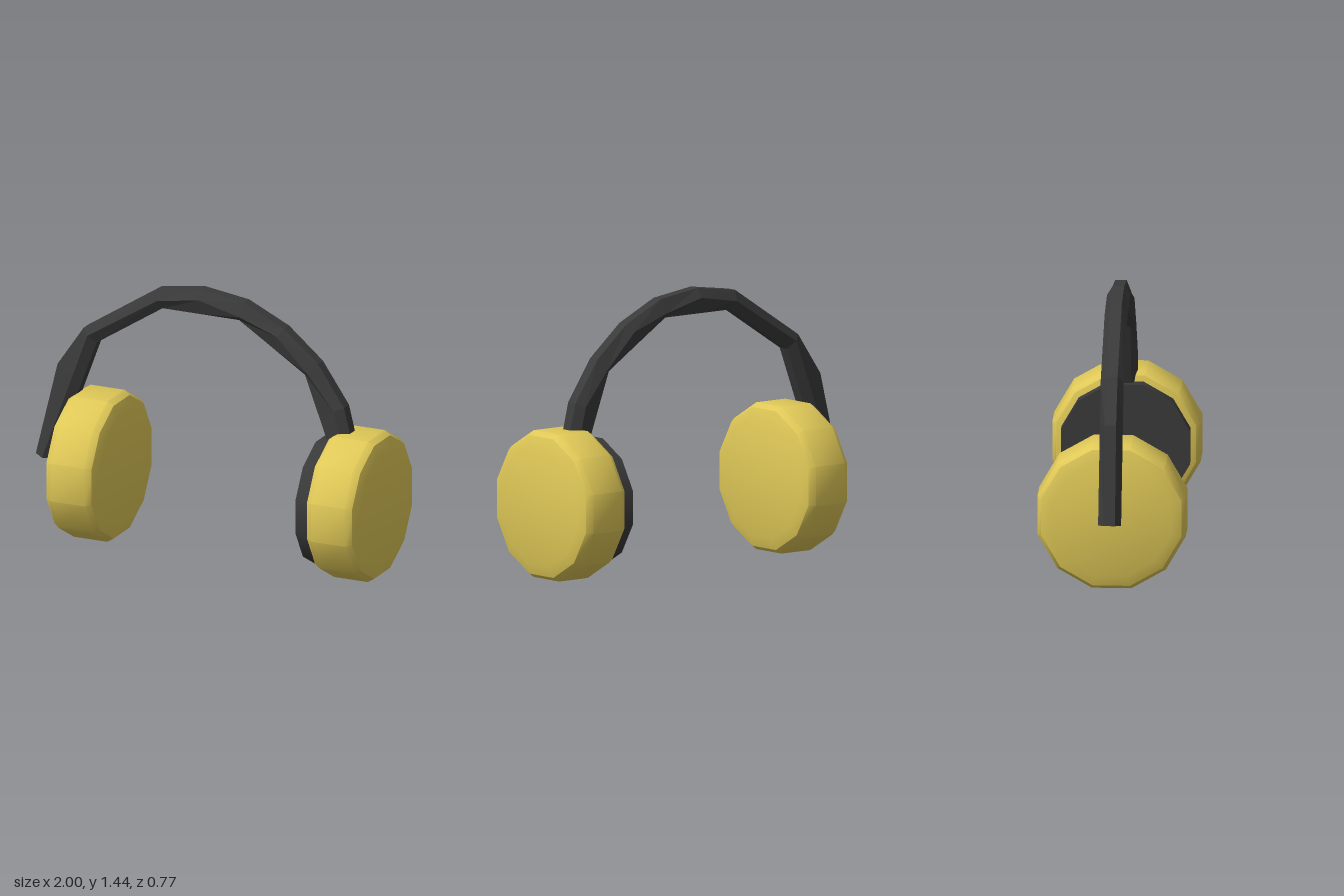
import * as THREE from 'three';
import { toCreasedNormals } from 'three/addons/utils/BufferGeometryUtils.js';

const yellow = new THREE.MeshStandardMaterial({ color: 0xdfc857 });
yellow.name = 'cup yellow';
const charcoal = new THREE.MeshStandardMaterial({ color: 0x3a3a3a });
charcoal.name = 'charcoal';

const SIDES = 12;
const CENTRE_Y = 0.386;

// Ear cup: twelve-sided drum with bevelled rims and slightly domed faces
function makeCup(name, x) {
  const half = [[0.4, 0.097], [0.378, 0.13], [0.32, 0.15], [0, 0.15]];
  const profile = [
    ...half.slice().reverse().map(([r, h]) => new THREE.Vector2(r, -h)),
    ...half.map(([r, h]) => new THREE.Vector2(r, h)),
  ];
  const lathe = new THREE.LatheGeometry(profile, SIDES, Math.PI / SIDES);
  lathe.rotateZ(-Math.PI / 2);
  const mesh = new THREE.Mesh(toCreasedNormals(lathe, 0.61), yellow);
  mesh.name = name;
  mesh.position.set(x, CENTRE_Y, 0);
  return mesh;
}

// Inner pad: flat disc on the inside of the left cup
function makePad() {
  const geometry = new THREE.CylinderGeometry(0.348, 0.348, 0.08, SIDES, 1, false, Math.PI / SIDES);
  geometry.rotateZ(-Math.PI / 2);
  const mesh = new THREE.Mesh(geometry, charcoal);
  mesh.name = 'leftPad';
  mesh.position.set(0.68, CENTRE_Y, 0);
  return mesh;
}

// Headband: hexagonal sections lofted along the arch, flat faceted
function makeBand() {
  // Each station: outer x, y, middle x, y, inner x, y
  const stations = [
    [-1, 0.4, -0.95, 0.39, -0.9, 0.385],
    [-0.875, 0.91, -0.773, 0.873, -0.73, 0.844],
    [-0.725, 1.13, -0.69, 1.1, -0.65, 1.06],
    [-0.3, 1.405, -0.29, 1.35, -0.27, 1.305],
    [-0.05, 1.44, -0.05, 1.39, -0.05, 1.305],
    [0.2, 1.405, 0.19, 1.33, 0.17, 1.305],
    [0.43, 1.295, 0.4, 1.255, 0.36, 1.183],
    [0.625, 1.13, 0.585, 1.07, 0.55, 1.06],
    [0.775, 0.91, 0.73, 0.89, 0.63, 0.844],
    [0.9, 0.4, 0.85, 0.39, 0.8, 0.385],
  ];
  const rings = stations.map(([ox, oy, mx, my, ix, iy]) => [
    [ox, oy, 0.03], [mx, my, 0.06], [ix, iy, 0.03],
    [ix, iy, -0.03], [mx, my, -0.06], [ox, oy, -0.03],
  ]);
  const positions = [];
  const tri = (a, b, c) => positions.push(...a, ...b, ...c);

  for (let i = 0; i < rings.length - 1; i++) {
    for (let j = 0; j < 6; j++) {
      const k = (j + 1) % 6;
      const [p, q] = [rings[i], rings[i + 1]];
      tri(p[j], p[k], q[j]);
      tri(p[k], q[k], q[j]);
    }
  }
  // End caps
  const first = rings[0];
  const last = rings[rings.length - 1];
  for (let j = 1; j < 5; j++) {
    tri(first[0], first[j + 1], first[j]);
    tri(last[0], last[j], last[j + 1]);
  }

  const geometry = new THREE.BufferGeometry();
  geometry.setAttribute('position', new THREE.Float32BufferAttribute(positions, 3));
  geometry.computeVertexNormals();
  const mesh = new THREE.Mesh(geometry, charcoal);
  mesh.name = 'headband';
  return mesh;
}

export function createModel() {
  const model = new THREE.Group();
  model.name = 'headphones';
  model.add(makeCup('leftCup', 0.85), makeCup('rightCup', -0.65), makePad(), makeBand());
  return model;
}
